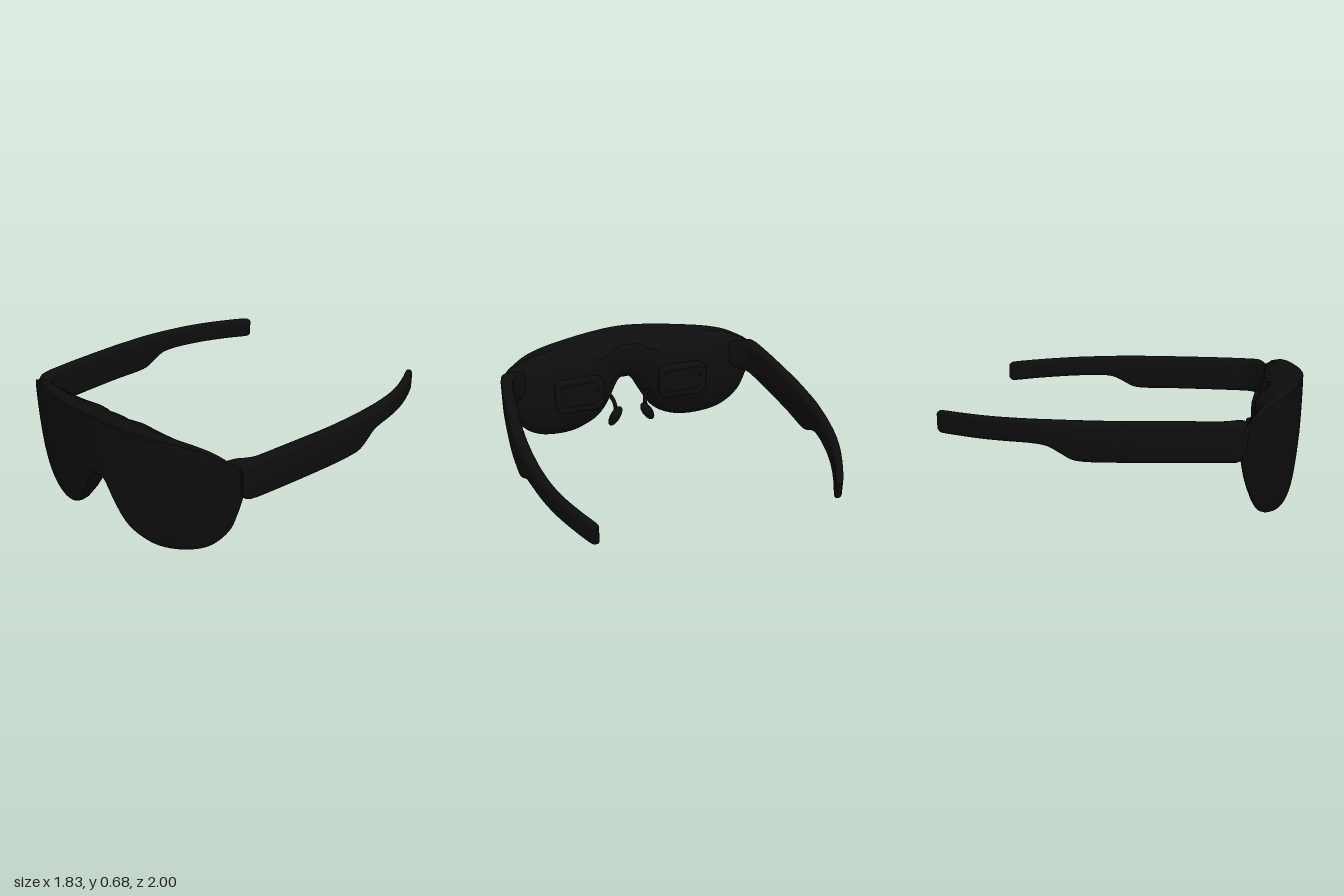
import * as THREE from 'three';
import { toCreasedNormals } from 'three/addons/utils/BufferGeometryUtils.js';

const V = (x, y, z) => new THREE.Vector3(x, y, z);

// Skin a closed solid over rings of points, with fan caps, facing outwards
function loft(rings, crease = 0.6) {
  const n = rings[0].length, pos = rings.flat(), idx = [];
  for (let i = 0; i < rings.length - 1; i++) {
    for (let j = 0; j < n; j++) {
      const a = i * n + j, b = i * n + (j + 1) % n;
      idx.push(a, b, a + n, b, b + n, a + n);
    }
  }
  [0, rings.length - 1].forEach((r, end) => {
    const c = pos.length;
    pos.push(rings[r].reduce((s, p) => s.add(p), V(0, 0, 0)).divideScalar(n));
    for (let j = 0; j < n; j++) {
      const a = r * n + j, b = r * n + (j + 1) % n;
      if (end) idx.push(c, a, b); else idx.push(c, b, a);
    }
  });
  let volume = 0;
  for (let i = 0; i < idx.length; i += 3) {
    volume += pos[idx[i]].dot(V(0, 0, 0).crossVectors(pos[idx[i + 1]], pos[idx[i + 2]]));
  }
  if (volume < 0) idx.reverse();
  const geometry = new THREE.BufferGeometry().setFromPoints(pos);
  geometry.setIndex(idx);
  return toCreasedNormals(geometry, crease);
}

// Visor: half outline as x, top y, bottom y
const outline = [
  [0, 0.68, 0.325], [0.035, 0.68, 0.323], [0.06, 0.679, 0.3], [0.12, 0.677, 0.19],
  [0.19, 0.673, 0.085], [0.27, 0.668, 0.03], [0.39, 0.66, 0], [0.57, 0.65, 0.027],
  [0.68, 0.634, 0.085], [0.77, 0.6, 0.19], [0.81, 0.58, 0.3], [0.829, 0.56, 0.4], [0.836, 0.535, 0.45],
];
const frontZ = (x, y) => 0.997 - 0.36 * x * x - 0.032 * ((0.68 - y) / 0.68) ** 2;

// Visor cross-section: curved lens in front, domed housing behind
function visorRing({ x, y: top, z: bottom }) {
  const h = top - bottom, ring = [];
  const rear = 0.79 - 0.065 * THREE.MathUtils.smoothstep(Math.abs(x), 0.05, 0.2);
  const add = (y, depth) => {
    const f = frontZ(x, y);
    ring.push(V(x, y, f - Math.max(f - rear, 0.05) * depth));
  };
  add(top, 0.03);
  for (let i = 0; i <= 10; i++) add(top - 0.008 - (h - 0.022) * i / 10, 0);
  add(bottom + 0.004, 0.04);
  const back = [[0, 0.12], [0.005, 0.25], [0.06, 0.5], [0.15, 0.75], [0.3, 0.93], [0.45, 0.98],
    [0.6, 1], [0.75, 1], [0.85, 0.94], [0.92, 0.75], [0.97, 0.5], [0.985, 0.44]];
  back.forEach(([s, depth]) => add(bottom + h * s, depth));
  return ring;
}

// Temple arm: z, outer x, inner x, top y, bottom y
const stations = [
  [0.735, 0.835, 0.69, 0.57, 0.41], [0.70, 0.85, 0.735, 0.592, 0.385], [0.66, 0.861, 0.775, 0.597, 0.38],
  [0.6, 0.872, 0.798, 0.596, 0.38], [0.4, 0.892, 0.817, 0.592, 0.375], [0.1, 0.913, 0.84, 0.584, 0.366],
  [-0.08, 0.915, 0.845, 0.58, 0.36], [-0.17, 0.914, 0.844, 0.578, 0.367], [-0.24, 0.91, 0.842, 0.576, 0.4],
  [-0.31, 0.903, 0.837, 0.574, 0.432], [-0.4, 0.892, 0.83, 0.571, 0.441], [-0.55, 0.865, 0.808, 0.566, 0.437],
  [-0.7, 0.823, 0.77, 0.56, 0.431], [-0.85, 0.764, 0.714, 0.554, 0.425], [-0.965, 0.71, 0.663, 0.548, 0.42],
  [-0.99, 0.693, 0.661, 0.54, 0.428], [-1, 0.683, 0.666, 0.53, 0.437],
];

// Rounded rectangle in a plane of constant z
function armRing(z, xo, xi, top, bottom) {
  const r = Math.min(0.024, (xo - xi) * 0.42), ring = [];
  const cx = (xo + xi) / 2, cy = (top + bottom) / 2;
  [[1, 1], [-1, 1], [-1, -1], [1, -1]].forEach(([sx, sy], q) => {
    for (let k = 0; k <= 4; k++) {
      const a = (q + k / 4) * Math.PI / 2;
      ring.push(V(cx + sx * ((xo - xi) / 2 - r) + r * Math.cos(a),
        cy + sy * ((top - bottom) / 2 - r) + r * Math.sin(a), z));
    }
  });
  return ring;
}

function armRings() {
  const sideCurve = new THREE.CatmullRomCurve3(stations.map(s => V(s[0], s[1], s[2])), false, 'catmullrom');
  const edgeCurve = new THREE.CatmullRomCurve3(stations.map(s => V(s[0], s[3], s[4])), false, 'catmullrom');
  const sample = t => {
    const a = sideCurve.getPoint(t), b = edgeCurve.getPoint(t);
    return [a.x, a.y, a.z, b.y, b.z];
  };
  const rings = [];
  for (let i = 0; i <= 80; i++) rings.push(armRing(...sample(i / 80)));
  return rings;
}

// Rounded rectangle shape for the display housings
function roundedRect(x0, x1, y0, y1, r) {
  const s = new THREE.Shape();
  s.absarc(x1 - r, y1 - r, r, 0, Math.PI / 2);
  s.absarc(x0 + r, y1 - r, r, Math.PI / 2, Math.PI);
  s.absarc(x0 + r, y0 + r, r, Math.PI, Math.PI * 1.5);
  s.absarc(x1 - r, y0 + r, r, Math.PI * 1.5, Math.PI * 2);
  s.closePath();
  return s;
}

export function createModel() {
  const group = new THREE.Group();
  group.name = 'wraparoundGlasses';
  const black = new THREE.MeshStandardMaterial({ color: 0x0d0d0d });
  black.name = 'black';
  const add = (name, geometry, parent) => {
    const mesh = new THREE.Mesh(geometry, black);
    mesh.name = name;
    parent.add(mesh);
    return mesh;
  };

  const front = new THREE.Group();
  front.name = 'front';
  front.position.x = -0.008;
  group.add(front);

  // Visor, lofted from one side to the other
  const points = [...outline.slice(1).reverse().map(([x, t, b]) => V(-x, t, b)), ...outline.map(p => V(...p))];
  const visorCurve = new THREE.CatmullRomCurve3(points);
  add('visor', loft(visorCurve.getPoints(120).map(visorRing)), front);

  const rings = armRings();
  for (const side of [1, -1]) {
    const label = side > 0 ? 'left' : 'right';

    // Temple arm
    add(label + 'Arm', loft(rings.map(ring => ring.map(p => V(p.x * side, p.y, p.z)))), group);

    // Raised display housing with an inset frame on the back of the visor
    const x0 = side > 0 ? 0.205 : -0.505;
    const housing = new THREE.ExtrudeGeometry(roundedRect(x0, x0 + 0.3, 0.25, 0.46, 0.05),
      { depth: 0.05, bevelSize: 0.015, bevelThickness: 0.012, bevelSegments: 3, curveSegments: 8 });
    add(label + 'DisplayHousing', toCreasedNormals(housing, 0.6), front).position.z = 0.702;
    const frame = roundedRect(x0 + 0.015, x0 + 0.285, 0.265, 0.445, 0.04);
    frame.holes.push(roundedRect(x0 + 0.035, x0 + 0.265, 0.285, 0.425, 0.03));
    add(label + 'DisplayFrame', new THREE.ExtrudeGeometry(frame,
      { depth: 0.006, bevelEnabled: false, curveSegments: 8 }), front).position.z = 0.686;

    // Nose pad on a short curved stem
    const pad = add(label + 'NosePad', new THREE.SphereGeometry(1, 24, 16), front);
    pad.scale.set(0.033, 0.08, 0.042);
    pad.position.set(side * 0.113, 0.138, 0.737);
    pad.rotation.set(0.12, side * -0.5, side * 0.55);
    const stem = new THREE.CatmullRomCurve3([V(side * 0.13, 0.27, 0.8), V(side * 0.11, 0.23, 0.775),
      V(side * 0.105, 0.19, 0.755), V(side * 0.113, 0.15, 0.74)]);
    add(label + 'NosePadStem', new THREE.TubeGeometry(stem, 16, 0.014, 8), front);
  }
  return group;
}
